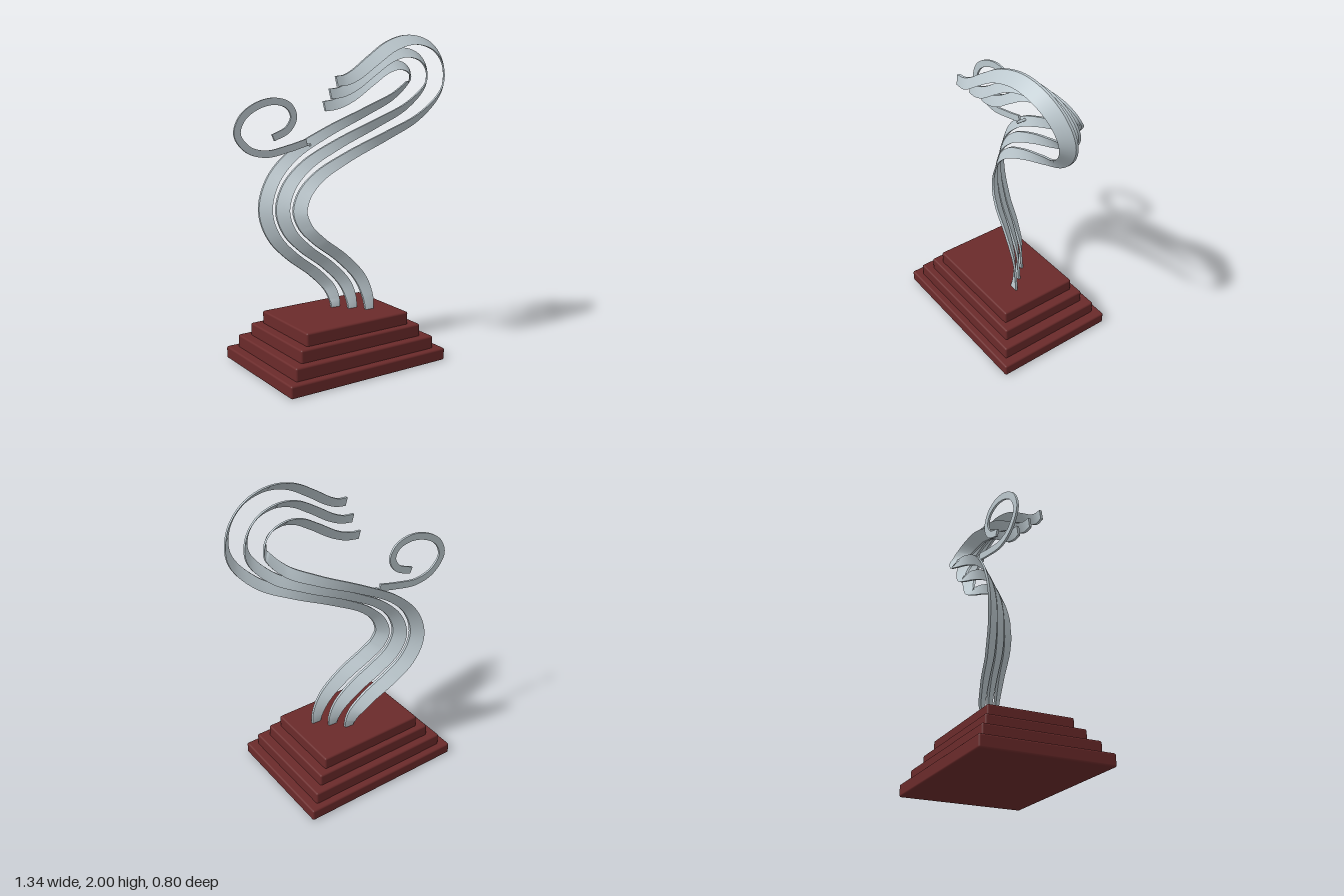
import * as THREE from 'three';
import { RoundedBoxGeometry } from 'three/addons/geometries/RoundedBoxGeometry.js';

const silver = new THREE.MeshStandardMaterial({ color: 0xbcc8ce });
silver.name = 'silver';
const maroon = new THREE.MeshStandardMaterial({ color: 0x6a2a2a });
maroon.name = 'maroon';

// Flat bar along a path of [x, y, z, tilt]; tilt is the change of z across the width
function bandGeometry(points, offset, zShift, width, thickness, steps) {
  const path = new THREE.CatmullRomCurve3(points.map(p => new THREE.Vector3(p[0], p[1], p[2])));
  const tilts = new THREE.CatmullRomCurve3(
    points.map(p => new THREE.Vector3(p[3] || 0, 0, 0)), false, 'catmullrom', 0.5);
  const corners = [[-1, 1], [1, 1], [1, -1], [-1, -1]];
  const rings = [];
  for (let i = 0; i <= steps; i++) {
    const u = i / steps;
    const c = path.getPoint(u);
    const t = path.getTangent(u);
    const len = Math.hypot(t.x, t.y);
    const nx = t.y / len, ny = -t.x / len;
    const tilt = tilts.getPoint(u).x;
    rings.push(corners.map(([a, b]) => {
      const across = a * width / 2;
      return [
        c.x + nx * (offset + across),
        c.y + ny * (offset + across),
        c.z + zShift + tilt * across + b * thickness / 2,
      ];
    }));
  }
  const pos = [], index = [];
  // Four separate strips keep the long edges sharp
  for (let k = 0; k < 4; k++) {
    const start = pos.length / 3;
    for (const r of rings) pos.push(...r[k], ...r[(k + 1) % 4]);
    for (let i = 0; i < steps; i++) {
      const a = start + i * 2;
      index.push(a, a + 1, a + 3, a, a + 3, a + 2);
    }
  }
  // End caps
  const s = pos.length / 3;
  for (const r of [rings[0], rings[steps]]) for (const p of r) pos.push(...p);
  index.push(s, s + 2, s + 1, s, s + 3, s + 2, s + 4, s + 5, s + 6, s + 4, s + 6, s + 7);
  const g = new THREE.BufferGeometry();
  g.setAttribute('position', new THREE.Float32BufferAttribute(pos, 3));
  g.setIndex(index);
  g.computeVertexNormals();
  return g;
}

export function createModel() {
  const model = new THREE.Group();
  const add = (parent, name, geometry, material) => {
    const mesh = new THREE.Mesh(geometry, material);
    mesh.name = name;
    parent.add(mesh);
    return mesh;
  };

  // Stepped plinth: width, depth, bottom, top
  const base = new THREE.Group();
  base.name = 'steppedBase';
  model.add(base);
  [
    [1.11, 0.80, 0, 0.077],
    [0.99, 0.71, 0.06, 0.155],
    [0.86, 0.61, 0.14, 0.232],
    [0.735, 0.53, 0.215, 0.31],
  ].forEach(([w, d, y0, y1], i) => {
    const step = add(base, 'baseStep' + (i + 1), new RoundedBoxGeometry(w, y1 - y0, d, 3, 0.012), maroon);
    step.position.set(-0.095, (y0 + y1) / 2, 0);
  });

  // Three parallel ribbons sharing one S-shaped centre line
  const centreLine = [
    [0.035, 0.30, 0, 0], [0.03, 0.375, -0.012, 0.45], [-0.005, 0.475, -0.033, 0.8],
    [-0.11, 0.595, -0.062, 1], [-0.25, 0.71, -0.097, 1.1], [-0.338, 0.815, -0.13, 1.15],
    [-0.373, 0.945, -0.152, 1.15], [-0.325, 1.09, -0.158, 1], [-0.205, 1.215, -0.15, 0.7],
    [0.01, 1.335, -0.122, 0.3], [0.27, 1.455, -0.072, -0.2], [0.46, 1.56, -0.015, -0.75],
    [0.562, 1.69, 0.04, -1.15], [0.54, 1.79, 0.075, -1.2], [0.455, 1.865, 0.105, -1.2],
    [0.325, 1.894, 0.125, -1.15], [0.19, 1.865, 0.142, -1.05], [0.06, 1.79, 0.152, -0.9],
    [-0.07, 1.705, 0.152, -0.65], [-0.15, 1.672, 0.148, -0.4], [-0.22, 1.664, 0.145, -0.2],
  ];
  const ribbons = new THREE.Group();
  ribbons.name = 'ribbons';
  model.add(ribbons);
  ['leftRibbon', 'middleRibbon', 'rightRibbon'].forEach((name, i) => {
    const k = i - 1;
    add(ribbons, name, bandGeometry(centreLine, k * 0.0755, k * 0.078, 0.058, 0.016, 200), silver);
  });

  // Flat curl behind the ribbons
  const curl = [
    [-0.182, 1.352], [-0.31, 1.322], [-0.465, 1.30], [-0.585, 1.336], [-0.653, 1.426],
    [-0.62, 1.52], [-0.52, 1.588], [-0.40, 1.611], [-0.305, 1.58], [-0.272, 1.512],
    [-0.312, 1.44], [-0.415, 1.394],
  ].map(([x, y]) => [x, y, -0.181, 0]);
  add(model, 'curl', bandGeometry(curl, 0, 0, 0.043, 0.013, 120), silver);

  // Small pin joining the curl to the ribbon
  const pin = add(model, 'pin', new THREE.CylinderGeometry(0.009, 0.009, 0.06, 16), silver);
  pin.rotation.x = Math.PI / 2;
  pin.position.set(-0.172, 1.338, -0.185);

  return model;
}
